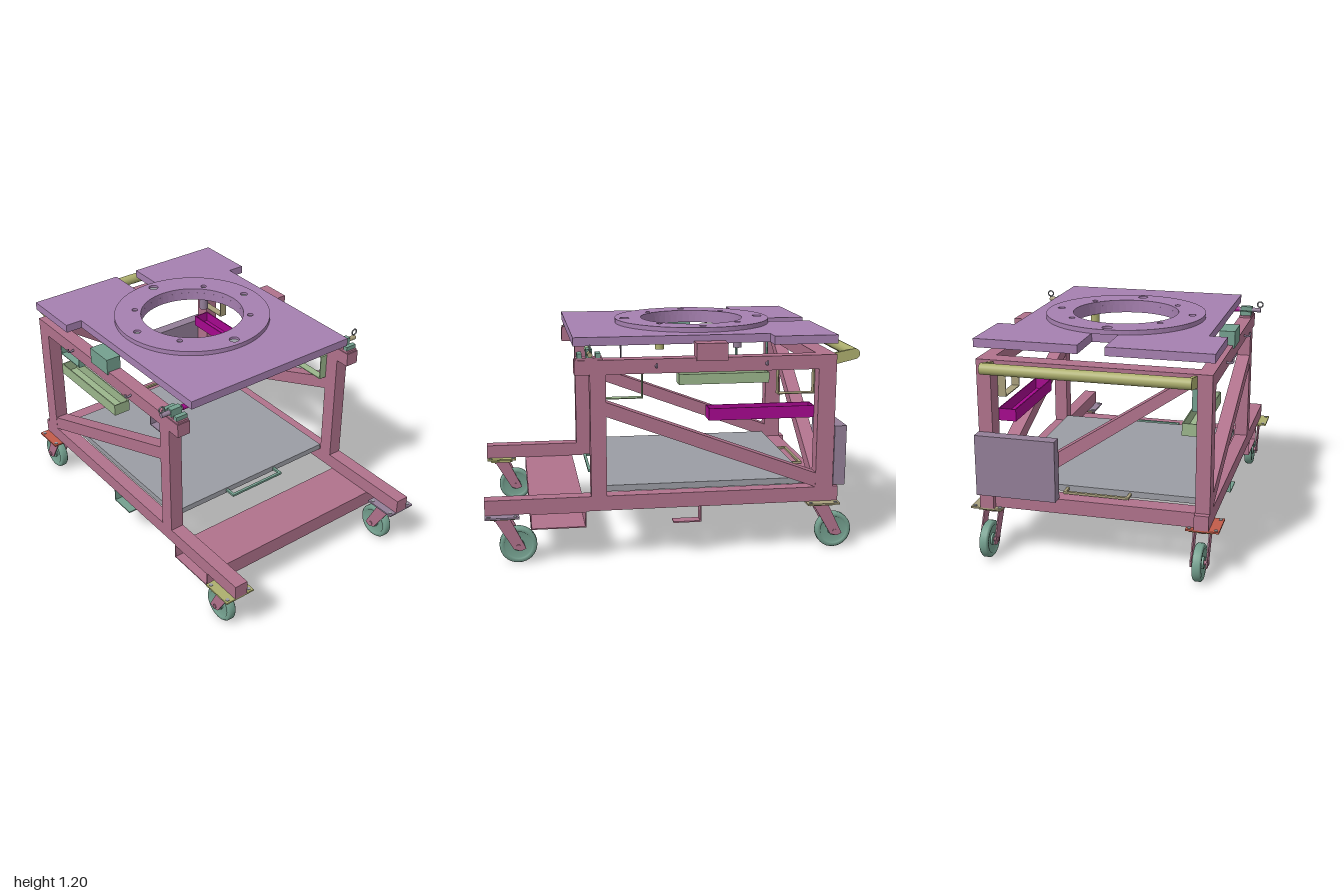
import * as THREE from 'three';

const mat = (name, color) => Object.assign(new THREE.MeshStandardMaterial({ color }), { name });
const M = {
  pink: mat('rose steel', 0xb0728c), purple: mat('lilac', 0xa680b0), teal: mat('teal', 0x74a08f),
  green: mat('sage green', 0x9bb68c), olive: mat('olive', 0xadaf6e), magenta: mat('magenta', 0xa6088e),
  grey: mat('grey', 0x9b9da4), mauve: mat('dusky mauve', 0x937f98), red: mat('brick red', 0xc25c4a),
  tan: mat('tan', 0xa89f7c),
};

export function createModel() {
  const root = new THREE.Group();
  const add = (name, geo, m, parent = root) => {
    const mesh = new THREE.Mesh(geo, m);
    mesh.name = name;
    parent.add(mesh);
    return mesh;
  };
  // Box given by its min/max on each axis
  const box = (name, m, x0, x1, y0, y1, z0, z1, parent = root) => add(name,
    new THREE.BoxGeometry(x1 - x0, y1 - y0, z1 - z0)
      .translate((x0 + x1) / 2, (y0 + y1) / 2, (z0 + z1) / 2), m, parent);
  // Box mirrored in z when s is -1
  const sbox = (name, m, s, x0, x1, y0, y1, z0, z1, parent = root) =>
    box(name, m, x0, x1, y0, y1, Math.min(s * z0, s * z1), Math.max(s * z0, s * z1), parent);
  const poly = pts => new THREE.Shape(pts.map(p => new THREE.Vector2(...p)));
  const prism = (shape, depth, curveSegments = 24) =>
    new THREE.ExtrudeGeometry(shape, { depth, bevelEnabled: false, curveSegments });
  const circle = (x, y, r) => new THREE.Path().absarc(x, y, r, 0, Math.PI * 2, true);
  const cylZ = (r, len, n = 24) => new THREE.CylinderGeometry(r, r, len, n).rotateX(Math.PI / 2);
  // Rectangular tube open along z
  const tubeZ = (name, m, x0, x1, y0, y1, z0, z1, w) => {
    const s = poly([[x0, y0], [x1, y0], [x1, y1], [x0, y1]]);
    s.holes.push(poly([[x0 + w, y0 + w], [x0 + w, y1 - w], [x1 - w, y1 - w], [x1 - w, y0 + w]]));
    return add(name, prism(s, z1 - z0).translate(0, 0, z0), m);
  };

  // Welded frame
  for (const s of [1, -1]) {
    sbox('bottomRail', M.pink, s, -0.88, 1, 0.273, 0.352, 0.53, 0.605);
    sbox('topRail', M.pink, s, -0.85, 0.525, 0.995, 1.07, 0.53, 0.605);
    sbox('rearPost', M.pink, s, -0.85, -0.755, 0.352, 0.995, 0.53, 0.605);
    sbox('frontPost', M.pink, s, 0.365, 0.447, 0.352, 0.995, 0.53, 0.605);
    add('sideBrace', prism(poly([[-0.755, 0.352], [0.365, 0.775], [0.365, 0.85], [-0.755, 0.43]]), 0.073)
      .translate(0, 0, s > 0 ? 0.531 : -0.604), M.pink);
  }
  box('topCrossbar', M.pink, -0.85, -0.755, 0.995, 1.07, -0.53, 0.53);
  box('bottomCrossbar', M.pink, -0.85, -0.755, 0.273, 0.352, -0.53, 0.53);
  add('endBrace', prism(poly([[0.5, 0.995], [-0.43, 0.352], [-0.53, 0.352], [-0.53, 0.375], [0.405, 0.995]].reverse()), 0.075)
    .rotateY(-Math.PI / 2).translate(-0.765, 0, 0), M.pink);
  tubeZ('wideCrossTube', M.pink, 0.475, 0.765, 0.185, 0.273, -0.605, 0.605, 0.006);

  // Floor panel with end loop handles
  box('floorPanel', M.grey, -0.735, 0.365, 0.352, 0.385, -0.525, 0.525);
  for (const [x, d, m] of [[0.365, 1, M.teal], [-0.735, -1, M.tan]]) {
    const h = new THREE.Group();
    h.name = 'panelHandle';
    root.add(h);
    const x1 = x + d * 0.065, x2 = x + d * 0.05;
    box('grip', m, Math.min(x1, x2), Math.max(x1, x2), 0.363, 0.375, -0.175, 0.175, h);
    for (const z of [-0.175, 0.16]) box('arm', m, Math.min(x, x1), Math.max(x, x1), 0.363, 0.375, z, z + 0.015, h);
  }

  // Troughs, open at the top
  for (const [s, m] of [[1, M.green], [-1, M.magenta]]) {
    sbox('trayFloor', m, s, -0.755, -0.185, 0.72, 0.727, 0.437, 0.533);
    sbox('trayWall', m, s, -0.755, -0.185, 0.727, 0.785, 0.437, 0.443);
    sbox('trayWall', m, s, -0.755, -0.185, 0.727, 0.785, 0.527, 0.533);
    sbox('trayEnd', m, s, -0.755, -0.749, 0.727, 0.785, 0.443, 0.527);
    sbox('trayEnd', m, s, -0.191, -0.185, 0.727, 0.785, 0.443, 0.527);
  }

  // Open sleeves under the top rails
  for (const [x, s, m] of [[-0.755, 1, M.teal], [0.165, 1, M.mauve], [-0.755, -1, M.tan], [0.165, -1, M.green]])
    tubeZ('sleeve', m, x, x + 0.2, 0.85, 0.993, s > 0 ? 0.487 : -0.531, s > 0 ? 0.531 : -0.487, 0.005);

  // Document box on the end
  box('endBox', M.mauve, -0.918, -0.853, 0.36, 0.685, -0.605, -0.178);

  // Push handle
  add('pushBar', cylZ(0.029, 1.06), M.olive).position.set(-0.97, 1.057, 0);
  for (const s of [1, -1])
    add('pushArm', prism(poly([[-0.85, 1.0], [-0.97, 1.028], [-0.97, 1.086], [-0.85, 1.062]].reverse()), 0.02)
      .translate(0, 0, s > 0 ? 0.51 : -0.53), M.olive);

  // Top plate with notch and round opening, ring on top
  const cx = -0.18;
  const plate = poly([[-0.85, -0.615], [-0.51, -0.615], [-0.51, -0.52], [0.525, -0.52], [0.525, 0.52], [-0.51, 0.52],
    [-0.51, 0.615], [-0.85, 0.615], [-0.85, 0.07], [-0.6, 0.07], [-0.6, -0.07], [-0.85, -0.07]]);
  plate.holes.push(circle(cx, 0, 0.286));
  add('topPlate', prism(plate, 0.045).rotateX(-Math.PI / 2).translate(0, 1.13, 0), M.purple);
  const ring = new THREE.Shape().absarc(cx, 0, 0.433, 0, Math.PI * 2, false);
  ring.holes.push(circle(cx, 0, 0.286));
  const spots = [[0.38, 0, 0.027], [-0.38, 0, 0.027], [0, 0.367, 0.02], [0, -0.367, 0.02]];
  for (const a of [1, -1]) for (const b of [1, -1]) spots.push([a * 0.216, b * 0.24, 0.016]);
  for (const [x, z, r] of spots) ring.holes.push(circle(cx + x, z, r));
  add('ring', prism(ring, 0.025, 32).rotateX(-Math.PI / 2).translate(0, 1.175, 0), M.purple);
  for (const [x, z, r] of spots)
    add('ringBolt', new THREE.CylinderGeometry(r, r, 0.012, 16), M.grey).position.set(cx + x, 1.181, z);

  // Spacers and small studs under the plate
  for (const [a, b, m] of [[1, 1, M.grey], [1, -1, M.olive], [-1, 1, M.purple], [-1, -1, M.mauve]])
    add('spacer', new THREE.CylinderGeometry(0.024, 0.024, 0.07, 20), m).position.set(cx + a * 0.216, 1.095, b * 0.24);
  const studMats = [M.green, M.olive, M.pink, M.mauve];
  for (let i = 0; i < 8; i++) {
    const t = (i + 0.5) * Math.PI / 4;
    add('stud', new THREE.CylinderGeometry(0.016, 0.016, 0.018, 16), studMats[i % 4])
      .position.set(cx + 0.41 * Math.cos(t), 1.121, 0.41 * Math.sin(t));
  }

  // Side blocks, latches, hooks and straps
  for (const s of [1, -1]) {
    sbox('sideBlock', s > 0 ? M.teal : M.pink, s, -0.268, -0.103, 1.055, 1.145, 0.53, 0.613);
    const latch = new THREE.Group();
    latch.name = 'latch';
    root.add(latch);
    sbox('latchBase', M.pink, s, 0.38, 0.52, 1.07, 1.082, 0.535, 0.6, latch);
    for (const x of [0.39, 0.485]) sbox('latchLug', M.teal, s, x, x + 0.025, 1.082, 1.105, 0.535, 0.6, latch);
    sbox('latchBody', M.teal, s, 0.432, 0.464, 1.082, 1.125, 0.535, 0.6, latch);
    add('latchPin', cylZ(0.013, 0.13, 16), s > 0 ? M.mauve : M.tan, latch).position.set(0.448, 1.105, s * 0.585);
    add('latchTip', cylZ(0.015, 0.08, 16), s > 0 ? M.magenta : M.green, latch).position.set(0.448, 1.105, s * 0.485);
    add('pullRing', new THREE.TorusGeometry(0.016, 0.004, 8, 20).rotateY(Math.PI / 2), M.grey, latch)
      .position.set(0.448, 1.138, s * 0.645);
    for (const x of [-0.47, 0.107]) {
      const path = new THREE.CatmullRomCurve3([[1.035, 0.6], [1.03, 0.625], [1.035, 0.638], [1.055, 0.64]]
        .map(([y, z]) => new THREE.Vector3(x, y, s * z)));
      add('hook', new THREE.TubeGeometry(path, 10, 0.006, 8), M.mauve);
    }
    const m = s > 0 ? M.teal : M.pink;
    sbox('strapDrop', m, s, -0.138, -0.131, 0.185, 0.273, 0.535, 0.595);
    sbox('strapFoot', m, s, -0.138, 0.012, 0.183, 0.19, 0.535, 0.595);
  }

  // Casters: swivel plates, raked fork, wheel with hub
  const caster = (x, s, m) => {
    const g = new THREE.Group();
    g.name = 'caster';
    g.position.set(x, 0, s * 0.562);
    root.add(g);
    const zo = s * 0.01;
    box('mountPlate', m, -0.088, 0.088, 0.264, 0.273, zo - 0.086, zo + 0.086, g);
    box('swivelPlate', M.olive, -0.065, 0.065, 0.25, 0.259, -0.06, 0.06, g);
    add('swivel', new THREE.CylinderGeometry(0.04, 0.04, 0.03, 20), M.pink, g).position.set(0, 0.25, 0);
    for (const a of [-1, 1]) for (const b of [-1, 1])
      add('plateBolt', new THREE.CylinderGeometry(0.01, 0.01, 0.012, 12), M.grey, g)
        .position.set(a * 0.068, 0.27, zo + b * 0.068);
    for (const z of [-0.044, 0.037])
      add('forkCheek', prism(poly([[-0.12, 0.085], [-0.09, 0.072], [-0.055, 0.085], [0.042, 0.25], [-0.04, 0.25]]), 0.007)
        .translate(0, 0, z), M.pink, g);
    box('forkCrown', M.pink, -0.04, 0.042, 0.238, 0.25, -0.044, 0.044, g);
    const tread = [[0.03, -0.014], [0.07, -0.014], [0.074, -0.023], [0.09, -0.023], [0.098, -0.014],
      [0.098, 0.014], [0.09, 0.023], [0.074, 0.023], [0.07, 0.014], [0.03, 0.014]];
    const wheel = add('wheel', new THREE.LatheGeometry(tread.map(p => new THREE.Vector2(...p)), 32)
      .rotateX(Math.PI / 2), M.teal, g);
    wheel.position.set(-0.08, 0.098, 0);
    add('hub', cylZ(0.031, 0.05), M.teal, g).position.set(-0.08, 0.098, 0);
    add('axle', cylZ(0.012, 0.098, 12), M.pink, g).position.set(-0.08, 0.098, 0);
  };
  caster(-0.792, 1, M.red);
  caster(-0.792, -1, M.tan);
  caster(0.911, 1, M.olive);
  caster(0.911, -1, M.mauve);
  return root;
}
